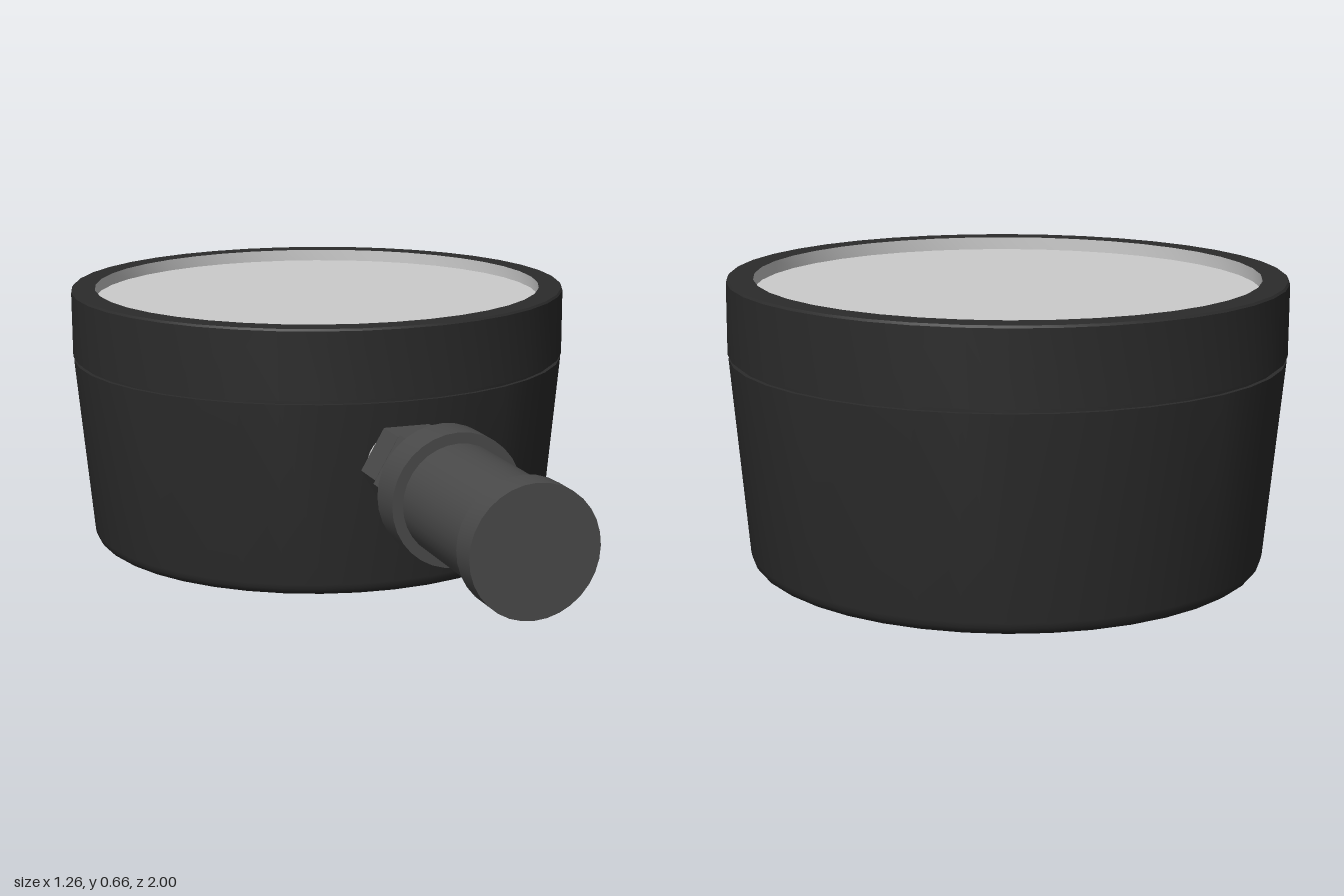
import * as THREE from 'three';
import { toCreasedNormals } from 'three/addons/utils/BufferGeometryUtils.js';

const BODY_Z = -0.37; // centre of the round housing
const AXIS_Y = 0.327; // height of the cable fitting

const black = new THREE.MeshStandardMaterial({ color: 0x2b2b2b });
const darkGrey = new THREE.MeshStandardMaterial({ color: 0x4a4a4a });
const grey = new THREE.MeshStandardMaterial({ color: 0xcccccc });

// Solid of revolution from [radius, height] pairs, with sharp edges kept
function lathe(name, profile, material, segments = 40) {
  const points = profile.map(([r, y]) => new THREE.Vector2(r, y));
  const geometry = toCreasedNormals(new THREE.LatheGeometry(points, segments), 0.6);
  const mesh = new THREE.Mesh(geometry, material);
  mesh.name = name;
  return mesh;
}

// Hexagonal nut lying along z, with flats facing up and down
function hexNut(name, radius, z0, z1) {
  const geometry = new THREE.CylinderGeometry(radius, radius, z1 - z0, 6, 1, false, Math.PI / 6);
  const mesh = new THREE.Mesh(toCreasedNormals(geometry, 0.3), darkGrey);
  mesh.rotation.x = Math.PI / 2;
  mesh.position.z = (z0 + z1) / 2;
  mesh.name = name;
  return mesh;
}

export function createModel() {
  const model = new THREE.Group();

  // Round housing: tapered cup, seam groove, rim and recessed face
  const housing = new THREE.Group();
  housing.name = 'housing';
  housing.position.z = BODY_Z;
  const cup = [[0, 0]];
  for (let i = 0; i <= 4; i++) { // rounded bottom edge
    const a = (i / 4) * Math.PI / 2;
    cup.push([0.557 + 0.03 * Math.sin(a), 0.03 - 0.03 * Math.cos(a)]);
  }
  cup.push([0.628, 0.478], [0.618, 0.478], [0.618, 0.49]);
  housing.add(lathe('cup', cup, black));
  housing.add(lathe('rim', [
    [0.6, 0.488], [0.63, 0.488], [0.63, 0.651], [0.626, 0.656], [0.57, 0.656],
  ], black));
  housing.add(lathe('recessedFace', [[0.57, 0.656], [0.57, 0.626], [0, 0.626]], grey));
  model.add(housing);

  // Cable fitting pointing forward
  const fitting = new THREE.Group();
  fitting.name = 'cableFitting';
  fitting.position.y = AXIS_Y;
  const stub = lathe('stub', [[0, 0.12], [0.085, 0.12], [0.085, 0.42], [0, 0.42]], grey, 32);
  const connector = lathe('connector', [
    [0, 0.44], [0.11, 0.44], [0.11, 0.497], [0.154, 0.497], [0.154, 0.59],
    [0.129, 0.59], [0.129, 0.932], [0.145, 0.932], [0.145, 1], [0, 1],
  ], darkGrey, 32);
  for (const part of [stub, connector]) {
    part.rotation.x = Math.PI / 2;
    fitting.add(part);
  }
  fitting.add(hexNut('lockNut', 0.112, 0.275, 0.367));
  fitting.add(hexNut('couplingNut', 0.126, 0.395, 0.467));
  model.add(fitting);

  return model;
}
